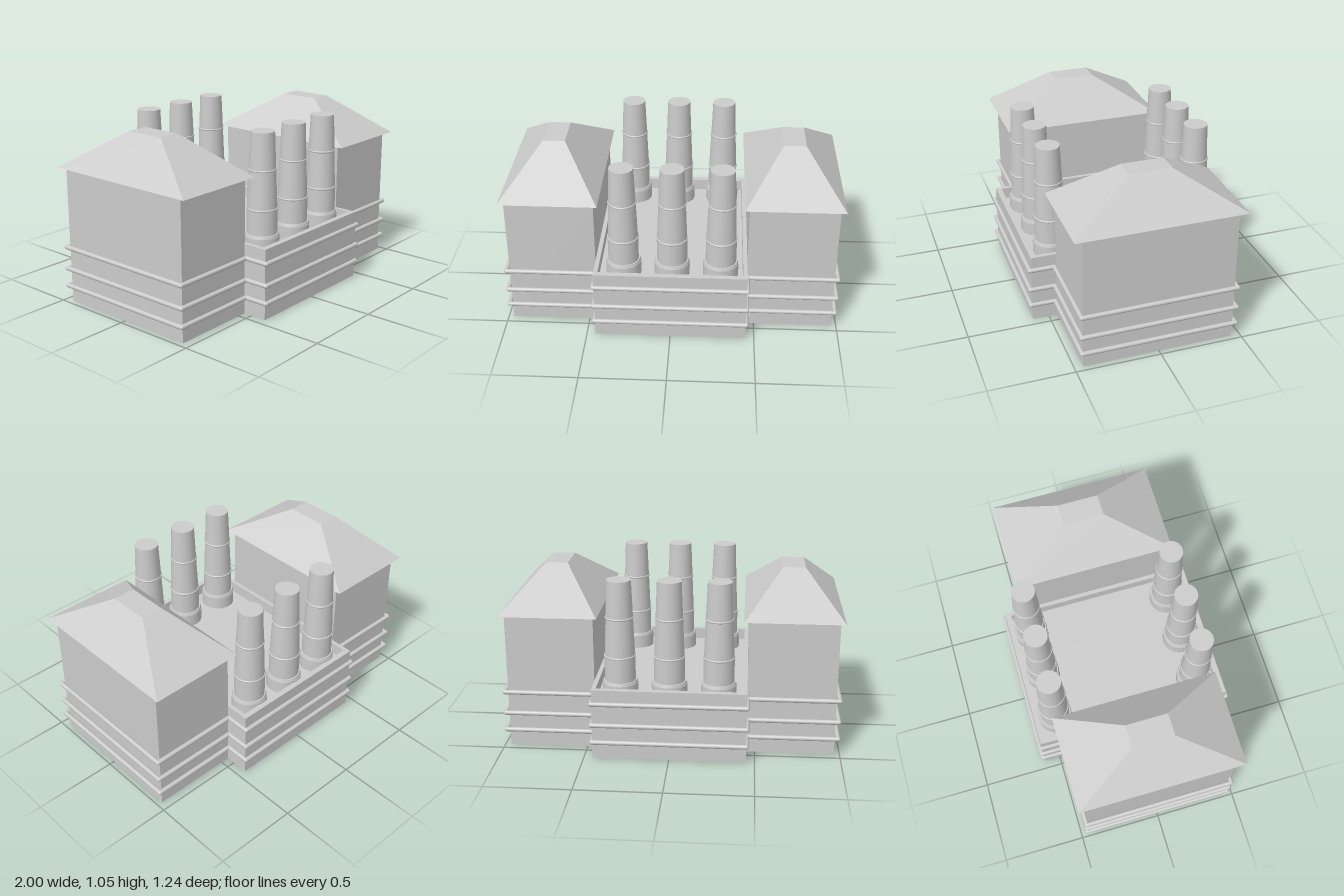
import * as THREE from 'three';

const material = new THREE.MeshStandardMaterial({ color: 0xcccccc });

function add(parent, name, geometry, x = 0, y = 0, z = 0) {
  const mesh = new THREE.Mesh(geometry, material);
  mesh.name = name;
  mesh.position.set(x, y, z);
  parent.add(mesh);
  return mesh;
}

// Truncated hip roof: a box whose upper corners are pulled inward
function hipRoof(w, h, d, topW, topD) {
  const g = new THREE.BoxGeometry(w, h, d).toNonIndexed();
  const p = g.attributes.position;
  for (let i = 0; i < p.count; i++) {
    if (p.getY(i) > 0) {
      p.setX(i, Math.sign(p.getX(i)) * topW / 2);
      p.setZ(i, Math.sign(p.getZ(i)) * topD / 2);
    }
  }
  g.computeVertexNormals();
  return g;
}

function rectPoints(x, z) {
  return [[-x, -z], [x, -z], [x, z], [-x, z]].map(([a, b]) => new THREE.Vector2(a, b));
}

// Smokestack: plinth, stepped foot, straight shaft, tapered shaft and two bands
function smokestack() {
  const stack = new THREE.Group();
  stack.name = 'smokestack';
  const cylinder = (name, rTop, rBottom, y0, y1) =>
    add(stack, name, new THREE.CylinderGeometry(rTop, rBottom, y1 - y0, 32), 0, (y0 + y1) / 2, 0);
  cylinder('plinth', 0.104, 0.104, 0.34, 0.437);
  cylinder('footStep', 0.097, 0.102, 0.437, 0.453);
  cylinder('lowerShaft', 0.09, 0.09, 0.453, 0.6);
  cylinder('upperShaft', 0.07, 0.088, 0.6, 1.05);
  for (const [y, r] of [[0.6, 0.088], [0.83, 0.078]]) {
    add(stack, 'band', new THREE.TorusGeometry(r, 0.006, 8, 32), 0, y, 0).rotation.x = Math.PI / 2;
  }
  return stack;
}

// Round rail following the cross-shaped plan, with rounded corners
function rail(y) {
  const group = new THREE.Group();
  group.name = 'rail';
  const r = 0.0135, wx = 0.986, wz = 0.459, cx = 0.451, cz = 0.606;
  const quarter = [[wx, wz], [cx, wz], [cx, cz]];
  const mirror = (sx, sz) => quarter.map(([x, z]) => new THREE.Vector3(x * sx, y, z * sz));
  const points = [
    ...mirror(1, 1), ...mirror(-1, 1).reverse(),
    ...mirror(-1, -1), ...mirror(1, -1).reverse(),
  ];
  points.forEach((a, i) => {
    const dir = points[(i + 1) % points.length].clone().sub(a);
    const mid = a.clone().addScaledVector(dir, 0.5);
    const bar = add(group, 'railBar', new THREE.CapsuleGeometry(r, dir.length(), 5, 14), mid.x, mid.y, mid.z);
    bar.quaternion.setFromUnitVectors(new THREE.Vector3(0, 1, 0), dir.normalize());
  });
  return group;
}

export function createModel() {
  const model = new THREE.Group();
  model.name = 'powerStation';

  // Central hall with a parapet around a sunken flat roof
  const plan = new THREE.Shape(rectPoints(0.449, 0.597));
  plan.holes.push(new THREE.Path(rectPoints(0.424, 0.563).reverse()));
  const walls = new THREE.ExtrudeGeometry(plan, { depth: 0.425, bevelEnabled: false });
  walls.rotateX(-Math.PI / 2);
  add(model, 'hallWalls', walls);
  add(model, 'hallRoof', new THREE.BoxGeometry(0.848, 0.355, 1.126), 0, 0.1775, 0);

  // End wings with overhanging hip roofs
  for (const side of [-1, 1]) {
    const wing = new THREE.Group();
    wing.name = side > 0 ? 'leftWing' : 'rightWing';
    wing.position.x = side * 0.708;
    add(wing, 'wingWalls', new THREE.BoxGeometry(0.518, 0.82, 0.896), 0, 0.41, 0);
    add(wing, 'wingRoof', hipRoof(0.574, 0.23, 0.992, 0.132, 0.248), 0, 0.935, 0);
    model.add(wing);
  }

  // Two rows of three smokestacks
  for (const z of [-0.463, 0.437]) {
    for (const i of [-1, 0, 1]) {
      const stack = smokestack();
      stack.position.set(0.005 + i * 0.287, 0, z);
      model.add(stack);
    }
  }

  // Rails around the building
  for (const y of [0.102, 0.21, 0.342]) model.add(rail(y));

  return model;
}
